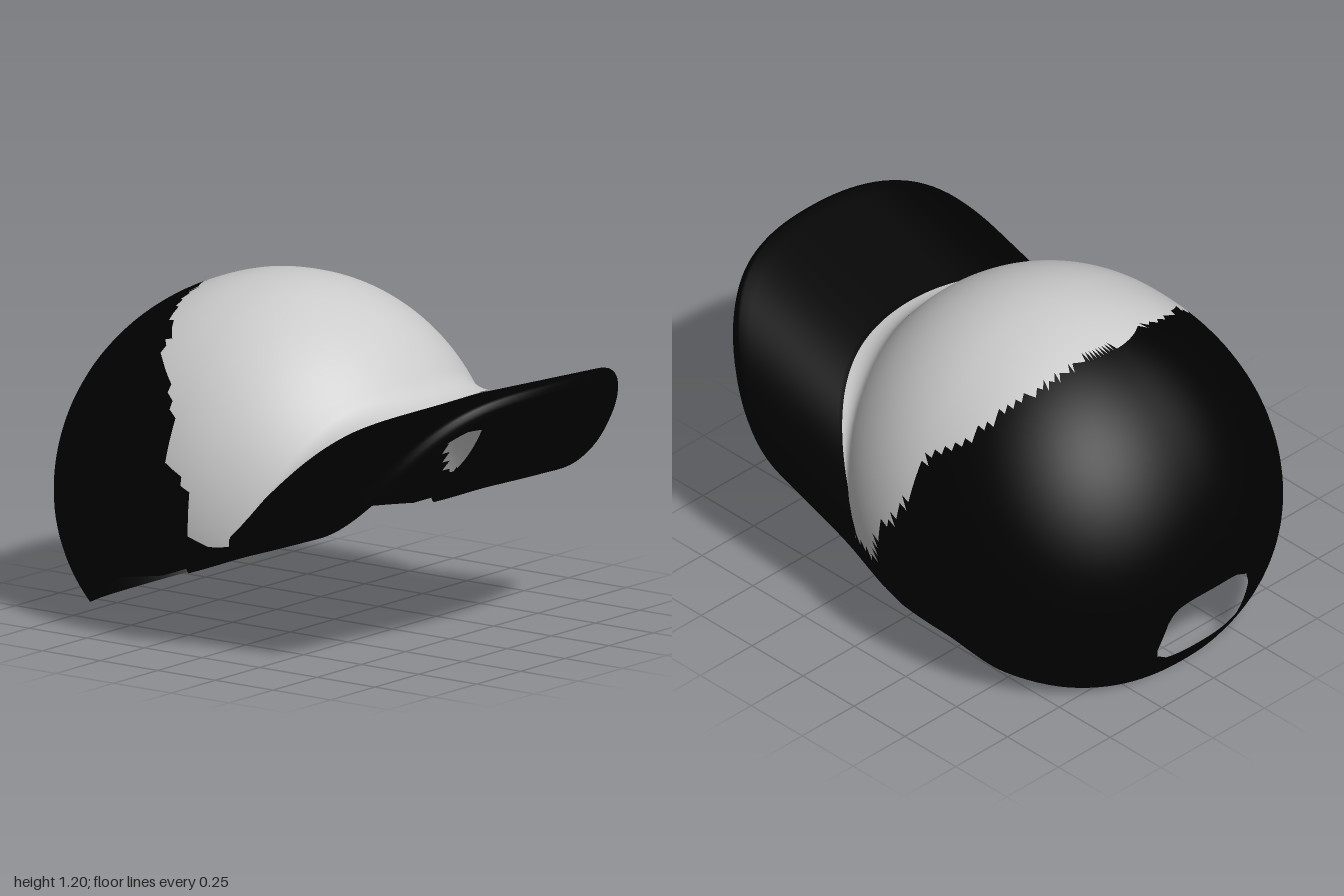
import * as THREE from 'three';

const GREY = new THREE.MeshStandardMaterial({ color: 0xcccccc, side: THREE.DoubleSide });
const DARK = new THREE.MeshStandardMaterial({ color: 0x000000, side: THREE.DoubleSide });

// Crown: round front half, longer and squarer back half, tucked in below the middle
const CY = 0.42, CZ = -0.2, RX = 0.73, FRONT = 0.74, BACK = 0.8, SQUARE = 2.3;
const height = (d) => (d > 0 ? 0.78 : 0.72);
const psiAt = (y) => Math.acos(THREE.MathUtils.clamp((y - CY) / height(y - CY), -1, 1));

function crownPoint(phi, psi) {
  const s = Math.sin(phi), c = Math.cos(phi), up = Math.cos(psi);
  const swell = c > 0 ? 1 : Math.pow(Math.abs(s) ** SQUARE + Math.abs(c) ** SQUARE, -1 / SQUARE);
  const r = Math.sin(psi) * swell;
  return new THREE.Vector3(RX * r * s, CY + height(up) * up, CZ + (c > 0 ? FRONT : BACK) * r * c);
}

// Piecewise linear lookup through [key, value] pairs with rising keys
function lookup(table, k) {
  if (k <= table[0][0]) return table[0][1];
  for (let i = 1; i < table.length; i++) {
    const [k0, v0] = table[i - 1], [k1, v1] = table[i];
    if (k <= k1) return v0 + (v1 - v0) * (k - k0) / (k1 - k0);
  }
  return table[table.length - 1][1];
}

// Height of the bottom rim by z, and z of the colour seam by height
const RIM = [[-0.85, 0], [-0.72, 0.04], [-0.55, 0.11], [-0.45, 0.19], [-0.39, 0.22], [-0.2, 0.255],
  [0, 0.33], [0.1, 0.42], [0.3, 0.57], [0.42, 0.67], [0.49, 0.71]];
const SEAM = [[0.39, -0.06], [0.55, -0.1], [0.68, -0.19], [0.84, -0.22], [0.93, -0.32],
  [1.04, -0.39], [1.14, -0.49]];

function rimPsi(phi) {
  let y = 0.3;
  for (let k = 0; k < 40; k++) y = lookup(RIM, crownPoint(phi, psiAt(y)).z);
  return psiAt(y);
}

// Upper surface of the visor, drooping at its sides
const visorTop = (x, z) => 0.82 + (z - 0.45) * 0.31 - 0.28 * Math.pow(Math.abs(x) / 0.68, 5);
const frontAzimuth = (x, z) => Math.atan2(x / RX, (z - CZ) / FRONT);

function geometryFrom(points, index) {
  const g = new THREE.BufferGeometry().setFromPoints(points);
  g.setIndex(index);
  g.computeVertexNormals();
  return g;
}

// Triangles of a grid whose rows are `cols` points long
function gridIndex(rows, cols, wrapRows, wrapCols) {
  const index = [];
  for (let i = 0; i < (wrapRows ? rows : rows - 1); i++) {
    for (let j = 0; j < (wrapCols ? cols : cols - 1); j++) {
      const i2 = (i + 1) % rows, j2 = (j + 1) % cols;
      const a = i * cols + j, b = i * cols + j2, c = i2 * cols + j2, d = i2 * cols + j;
      index.push(a, b, c, a, c, d);
    }
  }
  return index;
}

function named(name, geometry, material) {
  const mesh = new THREE.Mesh(geometry, material);
  mesh.name = name;
  return mesh;
}

// Crown shell with the rounded opening at the back, split into two colours
function makeCrown() {
  const N = 120, M = 44, points = [], inHole = [];
  for (let i = 0; i < N; i++) {
    const phi = (i / N) * Math.PI * 2, last = rimPsi(phi);
    for (let j = 0; j <= M; j++) {
      const p = crownPoint(phi, last * j / M);
      const w = 0.21 - 0.14 * Math.max(0, p.y - 0.2);
      const r = Math.pow((p.x / w) ** 4 + ((p.y - 0.245) / 0.135) ** 4, 0.25);
      const inside = p.z < CZ && r < 1;
      if (inside) {
        // push points inside the opening out to its edge
        const s = 1 / Math.max(r, 0.01);
        p.x *= s;
        p.y = 0.245 + (p.y - 0.245) * s;
        const girth = Math.sin(psiAt(p.y)) ** SQUARE - Math.abs(p.x / RX) ** SQUARE;
        p.z = CZ - BACK * Math.pow(Math.max(0, girth), 1 / SQUARE);
      }
      points.push(p);
      inHole.push(inside);
    }
  }
  const all = gridIndex(N, M + 1, true, false), kept = [], front = [], back = [];
  for (let t = 0; t < all.length; t += 3) {
    const tri = all.slice(t, t + 3);
    if (tri.every((v) => inHole[v])) continue;
    kept.push(...tri);
    const c = new THREE.Vector3();
    tri.forEach((v) => c.addScaledVector(points[v], 1 / 3));
    const seam = lookup(SEAM, c.y) + 0.012 * Math.sin(c.x * 19 + c.y * 27);
    const grey = c.z > seam && c.y > Math.max(0.39, visorTop(c.x, c.z) - 0.02);
    (grey ? front : back).push(...tri);
  }
  const whole = geometryFrom(points, kept);
  const part = (index) => {
    const g = whole.clone();
    g.setIndex(index);
    return g;
  };
  return [named('crownFrontPanel', part(front), GREY), named('crownBackPanel', part(back), DARK)];
}

// Visor outline: straight sides running into a rounded front, t from -1 to 1
function visorEdge(t) {
  const a = Math.abs(t) * 1.5;
  if (a >= 1) return [0.68 * Math.sign(t), 0.45 - 0.55 * (a - 1) * 2];
  const th = a * Math.PI / 2, n = 2 / 2.2;
  return [0.68 * Math.sign(t) * Math.sin(th) ** n, 0.45 + 0.55 * Math.cos(th) ** n];
}

// Visor: rounded cross-sections from the crown out, its underside meeting the rim
function makeVisor() {
  const S = 96, TH = 0.08, section = [];
  for (let k = 0; k <= 12; k++) section.push([0.94 * k / 12, 0]);
  for (let k = 1; k < 8; k++) {
    const a = (k / 8) * Math.PI;
    section.push([0.94 + 0.06 * Math.sin(a), (1 - Math.cos(a)) / 2]);
  }
  for (let k = 12; k >= 0; k--) section.push([0.94 * k / 12, 1]);
  const points = [];
  for (let i = 0; i <= S; i++) {
    const t = (i / S) * 2 - 1, th = t * Math.PI / 2;
    const [ox, oz] = visorEdge(t);
    const ix = 0.69 * Math.sin(th), iz = -0.1 + 0.57 * Math.cos(th);
    const phi = frontAzimuth(ix, iz), rim = crownPoint(phi, rimPsi(phi));
    const lift = rim.y - visorTop(rim.x, rim.z) + TH;
    for (const [u, w] of section) {
      const x = THREE.MathUtils.lerp(ix + (rim.x - ix) * w, ox, u);
      const z = THREE.MathUtils.lerp(iz + (rim.z - iz) * w, oz, u);
      points.push(new THREE.Vector3(x, visorTop(x, z) - TH * w + lift * w * (1 - u) ** 2, z));
    }
  }
  return named('visor', geometryFrom(points, gridIndex(S + 1, section.length, false, true)), DARK);
}

// Concave flare where the front panel runs out onto the visor
function makeFlare() {
  const S = 72, K = 6, points = [];
  for (let i = 0; i <= S; i++) {
    const th = (i / S - 0.5) * Math.PI * 0.88;
    const x = 0.7 * Math.sin(th), z = -0.1 + 0.59 * Math.cos(th);
    const end = new THREE.Vector3(x, visorTop(x, z) + 0.004, z);
    const phi = frontAzimuth(x, z);
    const start = crownPoint(phi, psiAt(end.y + 0.065));
    const mid = crownPoint(phi, psiAt(end.y + 0.01));
    points.push(...new THREE.QuadraticBezierCurve3(start, mid, end).getPoints(K));
  }
  return named('frontPanelFlare', geometryFrom(points, gridIndex(S + 1, K + 1, false, false)), GREY);
}

export function createModel() {
  const cap = new THREE.Group();
  cap.name = 'cap';
  cap.add(...makeCrown(), makeVisor(), makeFlare());
  return cap;
}
